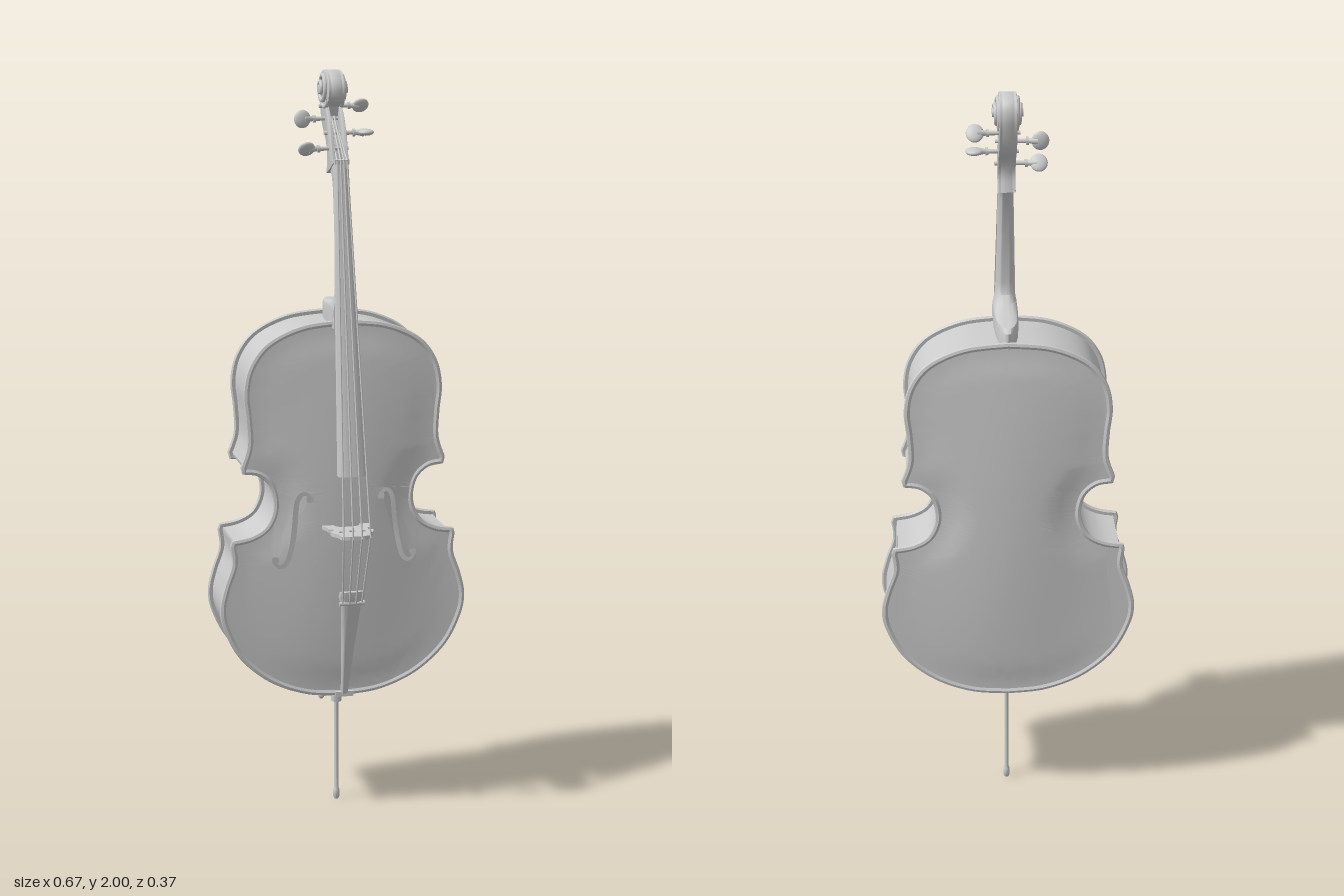
import * as THREE from 'three';
import { mergeVertices, toCreasedNormals } from 'three/addons/utils/BufferGeometryUtils.js';

const V2 = (x, y) => new THREE.Vector2(x, y);
const V3 = (x, y, z) => new THREE.Vector3(x, y, z);
const pts2 = a => a.map(p => V2(p[0], p[1]));
const spline = (a, n) => new THREE.SplineCurve(pts2(a)).getPoints(n);
const mat = new THREE.MeshStandardMaterial({ color: 0xcccccc, side: THREE.DoubleSide });

function add(parent, name, geo) {
  const m = new THREE.Mesh(geo, mat);
  m.name = name;
  parent.add(m);
  return m;
}

// Skin over a row of closed rings of points, optionally capped at both ends
function loft(rings, caps = true, crease = 0.7) {
  const n = rings[0].length, pos = rings.flat().flatMap(p => [p.x, p.y, p.z]), idx = [];
  for (let i = 0; i < rings.length - 1; i++) for (let j = 0; j < n; j++) {
    const a = i * n + j, b = i * n + (j + 1) % n;
    idx.push(a, b, b + n, a, b + n, a + n);
  }
  if (caps) for (const k of [0, rings.length - 1]) {
    const c = rings[k].reduce((s, p) => s.add(p), V3(0, 0, 0)).divideScalar(n);
    pos.push(c.x, c.y, c.z);
    for (let j = 0; j < n; j++) {
      const a = k * n + j, b = k * n + (j + 1) % n, m = pos.length / 3 - 1;
      k ? idx.push(m, a, b) : idx.push(m, b, a);
    }
  }
  const g = new THREE.BufferGeometry();
  g.setAttribute('position', new THREE.Float32BufferAttribute(pos, 3));
  g.setIndex(idx);
  return toCreasedNormals(g, crease);
}

// Bar with a flat face and a rounded face; stations are [y, flat z, round z, half width]
function halfRound(stations, power) {
  return loft(stations.map(([y, f, r, w]) => {
    const ring = [];
    for (let i = 0; i <= 16; i++) {
      const t = Math.PI * i / 16, s = Math.max(0, Math.sin(t));
      ring.push(V3(w * Math.cos(t) * Math.sign(f - r), y, f + (r - f) * Math.pow(s, power)));
    }
    return ring;
  }));
}

function rod(parent, name, a, b, r, r2 = r) {
  const d = b.clone().sub(a), m = add(parent, name, new THREE.CylinderGeometry(r2, r, d.length(), 12));
  m.position.copy(a).addScaledVector(d, 0.5);
  m.quaternion.setFromUnitVectors(V3(0, 1, 0), d.normalize());
  return m;
}

// Body outline: lower bout, waist, upper bout, then mirrored
function bodyOutline() {
  const half = [
    ...spline([[0, .337], [.1, .347], [.2, .388], [.28, .458], [.323, .54], [.333, .6], [.32, .66], [.3, .72], [.304, .77]], 44),
    ...spline([[.3, .783], [.25, .792], [.208, .818], [.187, .87], [.197, .928], [.23, .96], [.27, .967]], 30),
    ...spline([[.274, .983], [.256, 1.04], [.258, 1.11], [.264, 1.18], [.248, 1.25], [.2, 1.31], [.11, 1.35], [0, 1.362]], 40)];
  return [...half, ...half.slice(1, -1).reverse().map(p => V2(-p.x, p.y))];
}

function outlineBand(outline, profile) {
  const n = outline.length;
  const normals = outline.map((p, i) => {
    const t = outline[(i + 1) % n].clone().sub(outline[(i + n - 1) % n]).normalize();
    return V2(t.y, -t.x);
  });
  return loft(profile.map(([o, z]) => outline.map((p, i) => V3(p.x + normals[i].x * o, p.y + normals[i].y * o, z))), false, 0.6);
}

// Arched plate: triangulate, split long edges, then raise by the arching rule
function plate(outline, holes) {
  const shape = new THREE.Shape(outline);
  shape.holes = holes.map(h => new THREE.Path(h));
  const flat = new THREE.ShapeGeometry(shape).toNonIndexed(), p = flat.attributes.position;
  const stack = [], out = [];
  for (let i = 0; i < p.count; i += 3) stack.push([0, 1, 2].map(k => V2(p.getX(i + k), p.getY(i + k))));
  while (stack.length) {
    const t = stack.pop(), len = [0, 1, 2].map(k => t[k].distanceTo(t[(k + 1) % 3]));
    const k = len.indexOf(Math.max(...len));
    if (len[k] < 0.04) { out.push(...t); continue; }
    const a = t[k], b = t[(k + 1) % 3], c = t[(k + 2) % 3], m = a.clone().add(b).multiplyScalar(0.5);
    stack.push([a, m, c], [m, b, c]);
  }
  const edge = q => {
    let best = 1;
    outline.forEach((a, i) => {
      const b = outline[(i + 1) % outline.length], ex = b.x - a.x, ey = b.y - a.y;
      const u = THREE.MathUtils.clamp(((q.x - a.x) * ex + (q.y - a.y) * ey) / (ex * ex + ey * ey || 1), 0, 1);
      best = Math.min(best, Math.hypot(q.x - a.x - ex * u, q.y - a.y - ey * u));
    });
    return best;
  };
  const arch = q => 0.028 * THREE.MathUtils.smoothstep(edge(q), 0, 0.09)
    * (0.5 + 0.5 * Math.cos(Math.PI * Math.min(1, Math.abs(q.x) / 0.31)))
    * Math.max(0, 1 - ((q.y - 0.85) / 0.53) ** 2);
  let g = new THREE.BufferGeometry();
  g.setAttribute('position', new THREE.Float32BufferAttribute(out.flatMap(q => [q.x, q.y, arch(q)]), 3));
  g = mergeVertices(g, 1e-5);
  g.computeVertexNormals();
  return g;
}

// S-shaped sound hole with round ends
function soundHole(side) {
  const c = spline([[.096, .884], [.1, .903], [.117, .906], [.13, .882], [.135, .835], [.142, .78], [.155, .727], [.172, .709], [.188, .717], [.187, .736]], 48);
  const L = [], R = [];
  c.forEach((p, i) => {
    const t = c[Math.min(i + 1, 48)].clone().sub(c[Math.max(i - 1, 0)]).normalize();
    const e = Math.min(i, 48 - i), w = e < 5 ? 0.009 * Math.sqrt(1 - ((e - 2) / 3.4) ** 2) : 0.003 + 0.004 * Math.sin(Math.PI * i / 48);
    L.push(V2(side * (p.x - t.y * w), p.y + t.x * w));
    R.push(V2(side * (p.x + t.y * w), p.y - t.x * w));
  });
  return [...L, ...R.reverse()];
}

// Side profile in (z, y) extruded across x
function sideSlab(points, x0, x1) {
  const b = 0.002;
  const g = new THREE.ExtrudeGeometry(new THREE.Shape(points), { depth: x1 - x0 - 2 * b, bevelSize: b, bevelThickness: b, bevelOffset: -b, bevelSegments: 2 });
  return toCreasedNormals(g.rotateY(-Math.PI / 2).translate(x1 - b, 0, 0), 0.6);
}

export function createModel() {
  const root = new THREE.Group();
  root.name = 'cello';
  const outline = bodyOutline();

  // Body
  const body = new THREE.Group();
  body.name = 'body';
  root.add(body);
  add(body, 'ribs', outlineBand(outline, [[-.009, .025], [-.009, -.16]]));
  const bead = [[-.009, 0], [0, -.001], [.004, .004], [.002, .01], [-.005, .012], [-.012, .008]];
  add(body, 'frontEdge', outlineBand(outline, bead.map(([o, z]) => [o, .02 + z]).reverse()));
  add(body, 'backEdge', outlineBand(outline, bead.map(([o, z]) => [o, -.155 - z])));
  add(body, 'frontPlate', plate(outline, [soundHole(1), soundHole(-1)])).position.z = .028;
  const back = add(body, 'backPlate', plate(outline, []));
  back.rotation.y = Math.PI;
  back.position.z = -.160;

  // Neck with heel, fingerboard and tailpiece
  add(root, 'neck', halfRound([[1.345, .052, -.162, .032], [1.388, .046, -.162, .032], [1.398, .045, -.15, .031], [1.403, .044, -.08, .03],
    [1.412, .043, -.02, .028], [1.43, .041, .002, .026], [1.46, .037, .008, .024], [1.6, .017, -.013, .021], [1.7, .001, -.033, .02],
    [1.73, -.003, -.05, .02], [1.74, -.004, -.078, .019], [1.77, -.01, -.07, .019]], .6));
  add(root, 'fingerboard', halfRound([[.967, .112, .131, .038], [1.36, .05, .069, .029], [1.768, -.008, .007, .019]], .5));
  add(root, 'tailpiece', halfRound([[.343, .028, .042, .009], [.48, .068, .084, .017], [.61, .106, .123, .026], [.64, .114, .131, .035], [.655, .12, .133, .033]], .5));
  rod(root, 'tailpieceFret', V3(-.034, .622, .122), V3(.034, .622, .122), .006);
  add(root, 'saddle', new THREE.BoxGeometry(.05, .014, .018).translate(0, .34, .028));
  add(root, 'nut', new THREE.BoxGeometry(.038, .012, .02).translate(0, 1.772, -.002));

  // Pegbox: two cheeks and a back strip ending in the scroll
  const backLine = [[-.08, 1.735], [-.071, 1.78], [-.088, 1.82], [-.13, 1.858], [-.154, 1.905], [-.163, 1.95], [-.15, 1.985], [-.11, 2], [-.07, 1.988], [-.05, 1.957], [-.056, 1.925], [-.085, 1.907]];
  const head = spline(backLine, 48);
  const front = pts2([[-.06, 1.882], [-.034, 1.845], [-.018, 1.795], [-.004, 1.768], [-.04, 1.75]]);
  for (const s of [0, 1]) add(root, 'pegboxCheek', sideSlab([...head, ...front], s ? .013 : -.022, s ? .022 : -.013));
  add(root, 'pegboxBack', sideSlab([...head, ...pts2([[-.1, 1.875], [-.068, 1.838], [-.05, 1.8], [-.04, 1.75]])], -.016, .016));
  for (const s of [-1, 1]) {
    const turns = [];
    for (let i = 0; i <= 40; i++) {
      const u = i / 40, a = -2.6 + u * 4 * Math.PI, r = .047 - .033 * u;
      turns.push(V3(s * (.019 + .014 * u), 1.95 + r * Math.sin(a), -.106 - r * Math.cos(a)));
    }
    add(root, 'scrollSpiral', new THREE.TubeGeometry(new THREE.CatmullRomCurve3(turns), 90, .006, 8));
    rod(root, 'scrollEye', V3(0, 1.95, -.106), V3(s * .038, 1.95, -.106), .022, .011);
  }

  // Pegs: [side, y, z, turn of the flat head]
  const pegs = [[1, 1.905, -.128, .7], [-1, 1.875, -.1, 0], [1, 1.84, -.07, 1.57], [-1, 1.802, -.05, .7]];
  for (const [s, y, z, turn] of pegs) {
    const g = new THREE.Group();
    g.name = 'peg';
    g.position.set(0, y, z);
    g.rotation.x = turn;
    root.add(g);
    rod(g, 'pegShaft', V3(-s * .03, 0, 0), V3(s * .07, 0, 0), .005, .006);
    rod(g, 'pegCollar', V3(s * .046, 0, 0), V3(s * .053, 0, 0), .010, .010);
    rod(g, 'pegTaper', V3(s * .053, 0, 0), V3(s * .075, 0, 0), .006, .011);
    add(g, 'pegHead', new THREE.SphereGeometry(1, 20, 14).scale(.022, .024, .009)).position.x = s * .081;
  }

  // Bridge with feet and pierced centre
  const half = [[.018, .078], [.032, .07], [.036, .05], [.066, .048], [.064, .06], [.057, .075], [.058, .092], [.046, .1], [.047, .112], [.058, .118], [.054, .135], [.044, .15], [.04, .172], [.02, .179]];
  const bridgeShape = new THREE.Shape(pts2([...half, ...half.map(([x, z]) => [-x, z]).reverse()]));
  for (const [x, z, r] of [[0, .125, .009], [.03, .128, .007], [-.03, .128, .007]])
    bridgeShape.holes.push(new THREE.Path().absarc(x, z, r, 0, Math.PI * 2, true));
  add(root, 'bridge', new THREE.ExtrudeGeometry(bridgeShape, { depth: .01, bevelEnabled: false, curveSegments: 8 }).rotateX(Math.PI / 2).translate(0, .82, 0));

  // Strings from tailpiece over bridge and nut to the pegs
  for (let i = 0; i < 4; i++) {
    const k = (i - 1.5) / 1.5, low = Math.abs(k) > .5 ? .004 : 0;
    const peg = pegs[[3, 1, 0, 2][i]];
    const path = [V3(k * .026, .622, .128 - low), V3(k * .036, .815, .182 - low), V3(k * .013, 1.776, .01 - low / 2), V3(k * .009, peg[1], peg[2] + .006)];
    for (let j = 0; j < 3; j++) rod(root, 'string', path[j], path[j + 1], .0024);
  }

  // Endpin with collar and thumb screw
  const pin = [[0, 0], [.006, .001], [.009, .008], [.009, .026], [.006, .034], [.006, .285], [.014, .287], [.015, .315], [.02, .318], [.021, .34], [0, .342]];
  add(root, 'endpin', toCreasedNormals(new THREE.LatheGeometry(pts2(pin), 24), .6)).position.z = -.063;
  rod(root, 'screwShaft', V3(0, .307, -.063), V3(-.04, .307, -.063), .004);
  add(root, 'screwHead', new THREE.SphereGeometry(1, 14, 10).scale(.009, .011, .006)).position.set(-.042, .307, -.063);
  return root;
}
